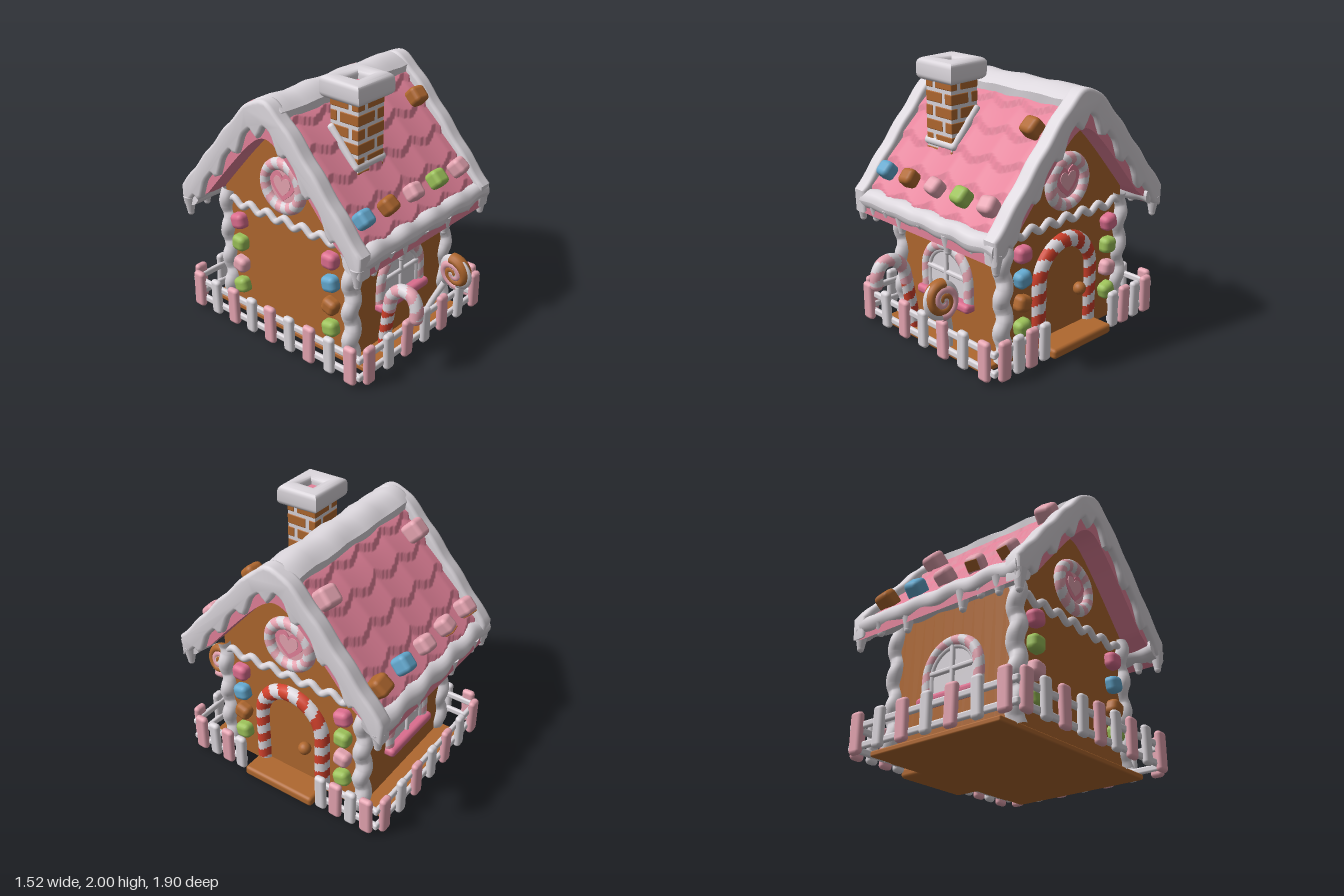
import * as THREE from 'three';
import { toCreasedNormals } from 'three/addons/utils/BufferGeometryUtils.js';
import { RoundedBoxGeometry } from 'three/addons/geometries/RoundedBoxGeometry.js';

const paint = (name, color) => {
  const m = new THREE.MeshStandardMaterial({ color });
  m.name = name;
  return m;
};
const white = paint('icing white', 0xdcd7dd);
const pink = paint('roof pink', 0xe5839b);
const lightPink = paint('light pink', 0xe6a5b2);
const deepPink = paint('deep pink', 0xdc6e8f);
const brown = paint('gingerbread', 0xb0682f);
const red = paint('candy red', 0xd2412c);
const blue = paint('candy blue', 0x64a9cf);
const green = paint('candy green', 0x9cc159);

function add(parent, name, geo, mat, x = 0, y = 0, z = 0) {
  const m = new THREE.Mesh(geo, mat);
  m.name = name;
  m.position.set(x, y, z);
  parent.add(m);
  return m;
}
function group(parent, name) {
  const g = new THREE.Group();
  g.name = name;
  parent.add(g);
  return g;
}
const V = (x, y, z = 0) => new THREE.Vector3(x, y, z);
const rbox = (w, h, d, r = 0.02) => new RoundedBoxGeometry(w, h, d, 2, r);

// Roof height at distance d from the ridge
function T(d) {
  const a = Math.sqrt(d * d + 0.018);
  return 1.955 - 1.22 * a + 0.03 * a * a;
}

// Soft hand-made lumps: move each vertex by a smooth rule
function wobble(geo, amp, f = 17) {
  const p = geo.attributes.position;
  for (let i = 0; i < p.count; i++) {
    const x = p.getX(i), y = p.getY(i), z = p.getZ(i);
    p.setXYZ(i, x + amp * Math.sin(f * y + 9 * z), y + amp * Math.sin(f * x + 7 * z), z + amp * Math.sin(f * x * 0.9 + 11 * y));
  }
  geo.computeVertexNormals();
  return geo;
}

// Extrude a (z, y) outline along x, centred on x
function alongX(pts, length, x, bevel = 0) {
  const geo = new THREE.ExtrudeGeometry(new THREE.Shape(pts.map(([a, b]) => new THREE.Vector2(a, b))), {
    depth: length - 2 * bevel, bevelEnabled: bevel > 0, bevelSize: bevel, bevelThickness: bevel, bevelSegments: 3, steps: 12 });
  geo.translate(0, 0, -(length - 2 * bevel) / 2).rotateY(-Math.PI / 2).translate(x, 0, 0);
  return geo;
}
// Outline following the roof between an upper and a lower line
function roofBand(half, top, bottom, n = 72) {
  const up = [], low = [];
  for (let i = 0; i <= n; i++) {
    const d = -half + (2 * half * i) / n;
    up.push([d, top(d)]);
    low.push([d, bottom(d)]);
  }
  return low.concat(up.reverse());
}

// Tube with spiral stripes in two colours, one group for each
function stripedTube(parent, name, curve, r, bands, a, b, closed = false) {
  const n = bands * 6, sides = 16;
  const geo = new THREE.TubeGeometry(curve, n, r, sides, closed);
  const idx = geo.index.array, lists = [[], []];
  for (let k = 0; k < n * sides; k++) {
    const t = (Math.floor(k / sides) / n) * bands + ((k % sides) / sides) * 2;
    lists[Math.floor(t + 0.001) % 2].push(...idx.subarray(k * 6, k * 6 + 6));
  }
  geo.setIndex(lists[0].concat(lists[1]));
  geo.addGroup(0, lists[0].length, 0);
  geo.addGroup(lists[0].length, lists[1].length, 1);
  return add(parent, name, geo, [a, b]);
}
function archCurve(r, y0, spring) {
  const pts = [V(-r, y0), V(-r, (y0 + spring) / 2)];
  for (let i = 0; i <= 10; i++) pts.push(V(-r * Math.cos((i * Math.PI) / 10), spring + r * Math.sin((i * Math.PI) / 10)));
  pts.push(V(r, (y0 + spring) / 2), V(r, y0));
  return new THREE.CatmullRomCurve3(pts);
}
function archPanel(r, y0, spring, depth) {
  const s = new THREE.Shape();
  s.moveTo(-r, y0).lineTo(r, y0).lineTo(r, spring).absarc(0, spring, r, 0, Math.PI, false);
  return new THREE.ExtrudeGeometry(s, { depth, bevelEnabled: false, curveSegments: 24 });
}
const tube = (pts, r, n = 80) => new THREE.TubeGeometry(new THREE.CatmullRomCurve3(pts), n, r, 10);

function buildWalls(house) {
  const pts = [[-0.6, 0], [0.6, 0]];
  for (let i = 0; i <= 20; i++) pts.push([0.6 - i * 0.06, T(0.6 - i * 0.06) - 0.19]);
  add(house, 'walls', toCreasedNormals(alongX(pts, 1.08, 0.01), 0.5), brown);
  add(house, 'groundSlab', rbox(1.1, 0.04, 1.56, 0.012), brown, 0, 0.02, 0);
  // Wavy icing on the four corners
  for (const x of [-0.52, 0.545]) for (const z of [-0.59, 0.59]) {
    const path = [];
    for (let i = 0; i <= 16; i++) path.push(V(x + 0.014 * Math.sin(i * 1.6), 0.03 + i * 0.06, z + 0.014 * Math.cos(i * 1.6)));
    add(house, 'cornerIcing', tube(path, 0.06), white);
  }
}

function buildRoof(house) {
  const roof = group(house, 'roof');
  const under = (d) => T(d) - 0.2 + 0.1 * Math.max(0, (Math.abs(d) - 0.6) / 0.23);
  add(roof, 'roofSlab', toCreasedNormals(alongX(roofBand(0.83, (d) => T(d) - 0.01, under), 1.4, 0), 0.6), pink);
  for (const s of [1, -1]) {
    // Overlapping scalloped shingles
    const geo = new THREE.PlaneGeometry(1.36, 0.8, 80, 80), p = geo.attributes.position;
    for (let i = 0; i < p.count; i++) {
      const x = p.getX(i), d = 0.42 - p.getY(i);
      const r = d / 0.15 - 0.28 * Math.abs(Math.sin((Math.PI * x) / 0.28)) + 1;
      p.setXYZ(i, x, T(d) + 0.035 * (r - Math.floor(r)), d);
    }
    geo.computeVertexNormals();
    add(roof, 'shingles', geo, pink).rotation.y = s > 0 ? 0 : Math.PI;
    // Icing on the eave with drips
    const eave = new THREE.CylinderGeometry(0.08, 0.08, 1.44, 18, 60).rotateZ(Math.PI / 2);
    add(roof, 'eaveIcing', wobble(eave, 0.008, 21), white, 0, 0.955, s * 0.772);
    [-0.71, -0.55, -0.4, -0.25, -0.02, 0.24, 0.5, 0.7].forEach((x, i) => {
      const len = [0.13, 0.1, 0.07, 0.12, 0.04, 0.12, 0.07, 0.13][i];
      const drip = new THREE.CylinderGeometry(0.05, 0.024, len, 12);
      add(roof, 'drip', drip, white, x, 0.93 - len / 2, s * 0.8);
      add(roof, 'dripTip', new THREE.SphereGeometry(0.025, 10, 8), white, x, 0.93 - len, s * 0.8);
    });
    // Icing on the gable edge, dripping along its lower line
    const low = (d) => T(d) - 0.07 - 0.085 * Math.sin(d * 15 + 0.9 * s) ** 6 * Math.min(1, (0.83 - Math.abs(d)) * 8);
    const band = alongX(roofBand(0.825, (d) => T(d) + 0.055 + 0.007 * Math.sin(d * 31), low), 0.12, s * 0.685, 0.025);
    add(roof, 'gableIcing', toCreasedNormals(band, 0.8), white);
  }
  const ridge = alongX(roofBand(0.12, (d) => T(d) + 0.052, (d) => T(d) - 0.04, 16), 1.4, 0, 0.025);
  add(roof, 'ridgeIcing', toCreasedNormals(wobble(ridge, 0.006), 0.8), white);

  // Sweets on the roof: x, distance from the ridge, size, colour, dipped in gingerbread
  [[-0.53, 0.7, 0.12, blue], [-0.275, 0.7, 0.12, brown], [0, 0.7, 0.12, lightPink], [0.27, 0.7, 0.125, green], [0.53, 0.7, 0.125, lightPink],
    [0.53, 0.31, 0.13, brown], [-0.56, -0.71, 0.13, lightPink, true], [-0.275, -0.71, 0.125, lightPink, true], [0, -0.71, 0.125, lightPink],
    [0.27, -0.71, 0.13, blue], [0.555, -0.71, 0.135, brown], [-0.54, -0.28, 0.145, lightPink], [0.53, -0.28, 0.145, lightPink],
  ].forEach(([x, d, size, mat, dipped], i) => {
    const sweet = add(roof, 'roofSweet', rbox(size, size, size, 0.035), mat, x, T(d) + 0.075, d);
    sweet.rotation.set(Math.sign(d) * 0.78, 0.15 * Math.sin(i * 2), 0.12 * Math.sin(i * 3));
    if (dipped) add(sweet, 'dippedFace', rbox(0.09, 0.075, 0.009, 0.004), brown, 0, 0.01, (Math.sign(d) * size) / 2);
  });
}

function buildChimney(house) {
  const c = group(house, 'chimney');
  c.position.set(-0.2, 0, 0.365);
  add(c, 'mortar', new THREE.BoxGeometry(0.262, 0.75, 0.236), white, 0, 1.52, 0);
  for (let row = 0; row < 7; row++) {
    const sx = row % 2 ? 0.05 : -0.05, y = 1.225 + row * 0.1;
    for (const a of [-1, 1]) for (const b of [-1, 1]) {
      const w = 0.135 - a * sx - 0.013, d = 0.122 + b * sx - 0.013;
      add(c, 'brick', rbox(w, 0.076, d, 0.008), brown, a * (0.135 - w / 2), y, b * (0.122 - d / 2));
    }
  }
  const skirt = add(c, 'chimneyBaseIcing', rbox(0.325, 0.06, 0.37, 0.028), white, 0, T(0.365) + 0.03, 0);
  skirt.rotation.x = 0.84;
  // Icing cap with a square flue
  const s = new THREE.Shape([[-1, -1], [1, -1], [1, 1], [-1, 1]].map(([x, y]) => new THREE.Vector2(x * 0.135, y * 0.115)));
  s.holes.push(new THREE.Path([[-1, -1], [-1, 1], [1, 1], [1, -1]].map(([x, y]) => new THREE.Vector2(x * 0.11, y * 0.1))));
  const cap = new THREE.ExtrudeGeometry(s, { depth: 0.07, bevelSize: 0.05, bevelThickness: 0.045, bevelSegments: 5 });
  add(c, 'chimneyCap', toCreasedNormals(wobble(cap.rotateX(-Math.PI / 2), 0.004), 1), white, 0, 1.88, 0);
  add(c, 'flue', new THREE.BoxGeometry(0.2, 0.04, 0.18), pink, 0, 1.91, 0);
}

// Arched window, facing +z
function buildWindow(house, turn) {
  const pivot = group(house, 'window');
  pivot.rotation.y = turn;
  const w = group(pivot, 'windowParts');
  w.position.z = 0.6;
  add(w, 'pane', archPanel(0.22, 0.34, 0.5, 0.008), white);
  add(w, 'innerFrame', new THREE.TubeGeometry(archCurve(0.19, 0.36, 0.5), 40, 0.024, 8), white);
  add(w, 'verticalBar', rbox(0.036, 0.36, 0.04, 0.014), white, 0, 0.53, 0.01);
  add(w, 'crossBar', rbox(0.4, 0.036, 0.04, 0.014), white, 0, 0.53, 0.01);
  stripedTube(w, 'windowArch', archCurve(0.225, 0.34, 0.5), 0.043, 16, lightPink, white);
  add(w, 'sill', rbox(0.55, 0.07, 0.13, 0.03), deepPink, 0, 0.335, 0.01);
}

function heartShape(k) {
  const s = new THREE.Shape();
  s.moveTo(0, -0.1 * k).bezierCurveTo(0.05 * k, -0.06 * k, 0.11 * k, -0.01 * k, 0.11 * k, 0.045 * k);
  s.bezierCurveTo(0.11 * k, 0.11 * k, 0.03 * k, 0.12 * k, 0, 0.06 * k).bezierCurveTo(-0.03 * k, 0.12 * k, -0.11 * k, 0.11 * k, -0.11 * k, 0.045 * k);
  s.bezierCurveTo(-0.11 * k, -0.01 * k, -0.05 * k, -0.06 * k, 0, -0.1 * k);
  return new THREE.ExtrudeGeometry(s, { depth: 0.008, bevelEnabled: false });
}
// Gable decoration, facing +z; flip mirrors it for the other end
function buildGable(house, turn, flip, out) {
  const pivot = group(house, 'gable');
  pivot.rotation.y = turn;
  const g = group(pivot, 'gableParts');
  g.position.z = out;
  const zig = [];
  for (let i = 0; i <= 14; i++) zig.push(V(-0.595 + i * 0.085, 0.92 + (i % 2 ? 0.025 : -0.025), 0.005));
  add(g, 'zigzagIcing', tube(zig, 0.027, 120), white);
  // Round heart window
  const ring = new THREE.CatmullRomCurve3(Array.from({ length: 16 }, (_, i) =>
    V(0.165 * Math.cos((i * Math.PI) / 8), 1.195 + 0.165 * Math.sin((i * Math.PI) / 8), 0.01)), true);
  stripedTube(g, 'heartWindowRing', ring, 0.045, 20, lightPink, white, true);
  add(g, 'heartWindowPane', new THREE.CircleGeometry(0.15, 32), lightPink, 0, 1.195, 0.012);
  add(g, 'heart', heartShape(1.1), pink, 0, 1.195, 0.013);
  add(g, 'heartCentre', heartShape(0.7), lightPink, 0, 1.195, 0.018);
  // Two columns of sweets
  [[deepPink, blue, brown, green], [deepPink, green, lightPink, green]].forEach((col, k) => col.forEach((mat, i) => {
    const sweet = add(g, 'wallSweet', rbox(0.125, 0.12, 0.11, 0.04), mat, flip * (k ? 0.445 : -0.435), 0.785 - i * 0.18, 0.02);
    sweet.rotation.z = 0.3 * Math.sin(i * 2.3 + k);
  }));
  return g;
}

function buildDoor(g) {
  add(g, 'door', archPanel(0.25, 0.06, 0.5, 0.012), brown);
  stripedTube(g, 'doorArch', archCurve(0.26, 0.07, 0.505), 0.06, 22, red, white);
  add(g, 'doorKnob', new THREE.SphereGeometry(0.048, 16, 12), brown, 0.13, 0.36, 0.04);
  add(g, 'doorStep', rbox(0.6, 0.075, 0.24, 0.025), brown, 0, 0.042, 0.09);
}

function buildFence(house) {
  const fence = group(house, 'fence');
  const row = (turn, out, spots, rails) => {
    const side = group(fence, 'fenceSide');
    side.rotation.y = turn;
    spots.forEach(([x, isPink], i) => {
      const post = add(side, 'picket', rbox(isPink ? 0.1 : 0.088, isPink ? 0.295 : 0.285, 0.055, 0.027), isPink ? lightPink : white, x, 0.163, out);
      post.rotation.z = 0.025 * Math.sin(i * 2.1 + turn);
    });
    for (const [a, b] of rails) for (const y of [0.08, 0.22])
      add(side, 'rail', rbox(b - a, 0.05, 0.035, 0.015), white, (a + b) / 2, y, out - 0.025);
  };
  const seven = [-3, -2, -1, 0, 1, 2, 3].map((i) => [i * 0.21, i % 2 !== 0]);
  row(0, 0.84, seven, [[-0.72, 0.72]]);
  row(Math.PI, 0.835, seven, [[-0.72, 0.72]]);
  row(-Math.PI / 2, 0.72, [-4, -3, -2, -1, 0, 1, 2, 3, 4].map((i) => [i * 0.187, i % 2 === 0]), [[-0.82, 0.82]]);
  const gate = [0.36, 0.485, 0.61, 0.74].map((x, i) => [x, i % 2 === 1]);
  row(Math.PI / 2, 0.72, [...gate, ...gate.map(([x, p]) => [-x, p])], [[0.33, 0.82], [-0.82, -0.33]]);
}

function buildGardenSweets(root) {
  // Candy cane hooked forward
  const stem = new THREE.CatmullRomCurve3([V(-0.28, 0.02, 0.6), V(-0.29, 0.2, 0.62), V(-0.295, 0.4, 0.65)]);
  const hook = new THREE.CatmullRomCurve3([[-0.295, 0.4, 0.65], [-0.3, 0.52, 0.68], [-0.305, 0.595, 0.76],
    [-0.31, 0.59, 0.85], [-0.315, 0.52, 0.895], [-0.32, 0.44, 0.9]].map((p) => V(...p)));
  stripedTube(root, 'caneStem', stem, 0.046, 6, red, white);
  stripedTube(root, 'caneHook', hook, 0.048, 8, lightPink, white);
  add(root, 'caneTip', new THREE.SphereGeometry(0.048, 14, 10), lightPink, -0.32, 0.44, 0.9);
  // Swirl lollipop
  const lolly = group(root, 'lollipop');
  lolly.position.set(0.275, 0.5, 0.81);
  lolly.rotation.set(0, -0.1, 0.15);
  add(lolly, 'lollipopDisc', new THREE.SphereGeometry(0.14, 24, 16).scale(0.33, 1, 1), white);
  [brown, lightPink].forEach((mat, k) => {
    const pts = [];
    for (let i = 0; i <= 30; i++) {
      const a = i * 0.27 + k * Math.PI, r = 0.008 + i * 0.0035;
      pts.push(V(0, r * Math.sin(a), r * Math.cos(a)));
    }
    const swirl = new THREE.TubeGeometry(new THREE.CatmullRomCurve3(pts), 90, 0.037, 12);
    add(lolly, 'lollipopSwirl', swirl.scale(1.35, 1, 1), mat);
  });
  add(root, 'lollipopStick', tube([V(0.13, 0.02, 0.62), V(0.18, 0.2, 0.66), V(0.24, 0.4, 0.74)], 0.024, 16), white);
}

export function createModel() {
  const root = new THREE.Group();
  root.name = 'gingerbreadHouse';
  const house = group(root, 'house');
  house.position.z = -0.09;
  buildWalls(house);
  buildRoof(house);
  buildChimney(house);
  for (const turn of [0, Math.PI]) buildWindow(house, turn);
  buildDoor(buildGable(house, Math.PI / 2, 1, 0.552));
  buildGable(house, -Math.PI / 2, -1, 0.532);
  buildFence(house);
  buildGardenSweets(root);
  return root;
}
